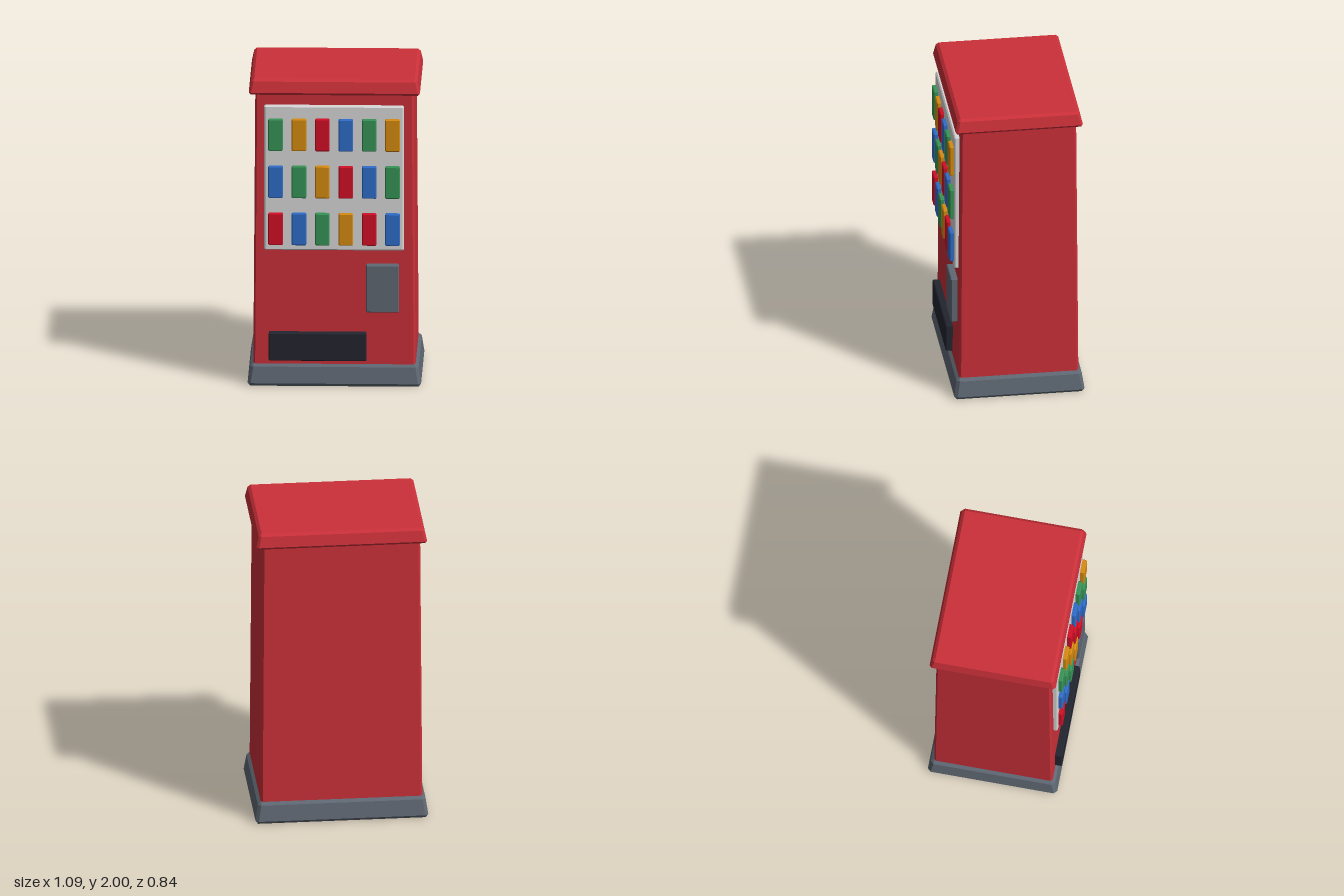
import * as THREE from 'three';
import { ConvexGeometry } from 'three/addons/geometries/ConvexGeometry.js';

const mat = (name, color) => {
  const m = new THREE.MeshStandardMaterial({ color });
  m.name = name;
  return m;
};

// Box with chamfered edges; the top can be inset on all four sides.
function chamferBox(x0, x1, y0, y1, z0, z1, bevel, inset = 0) {
  const points = [];
  for (const sx of [0, 1]) for (const sy of [0, 1]) for (const sz of [0, 1]) {
    for (let axis = 0; axis < 3; axis++) {
      const b = [bevel, bevel, bevel];
      b[axis] = 0;
      const y = sy ? y1 - b[1] : y0 + b[1];
      const t = inset * (y - y0) / (y1 - y0);
      points.push(new THREE.Vector3(
        sx ? x1 - b[0] - t : x0 + b[0] + t,
        y,
        sz ? z1 - b[2] - t : z0 + b[2] + t));
    }
  }
  return new ConvexGeometry(points);
}

export function createModel() {
  const group = new THREE.Group();
  group.name = 'vendingMachine';

  const red = mat('cabinet red', 0xcb3039);
  const grey = mat('slate grey', 0x5f6873);
  const dark = mat('near black', 0x23252f);
  const pale = mat('display pale grey', 0xd8d8d8);
  const cans = [
    mat('can red', 0xd20f26),
    mat('can blue', 0x2f6cc8),
    mat('can green', 0x379356),
    mat('can orange', 0xd68b10),
  ];

  const add = (name, material, ...dims) => {
    const mesh = new THREE.Mesh(chamferBox(...dims), material);
    mesh.name = name;
    group.add(mesh);
  };

  // Cabinet: flared base, slightly tapered body, overhanging cap
  add('base', grey, -0.55, 0.55, 0, 0.145, -0.423, 0.412, 0.02, 0.022);
  add('body', red, -0.512, 0.512, 0.08, 1.95, -0.385, 0.375, 0.012, 0.013);
  add('cap', red, -0.543, 0.543, 1.9, 2, -0.413, 0.403, 0.015, 0.022);

  // Front fittings
  add('displayPanel', pale, -0.443, 0.438, 0.888, 1.83, 0.34, 0.396, 0.008);
  add('paymentPanel', grey, 0.2, 0.408, 0.488, 0.797, 0.35, 0.414, 0.006);
  add('dispenserSlot', dark, -0.413, 0.203, 0.17, 0.352, 0.35, 0.418, 0.006);

  // Three rows of products, colours shifting by one each row
  for (let row = 0; row < 3; row++) {
    for (let col = 0; col < 6; col++) {
      const x = -0.37 + col * 0.1475;
      const y = 1.03 + row * 0.3075;
      add(`product${row + 1}_${col + 1}`, cans[(col + row) % 4],
        x - 0.046, x + 0.046, y - 0.104, y + 0.104, 0.38, 0.423, 0.006);
    }
  }
  return group;
}
